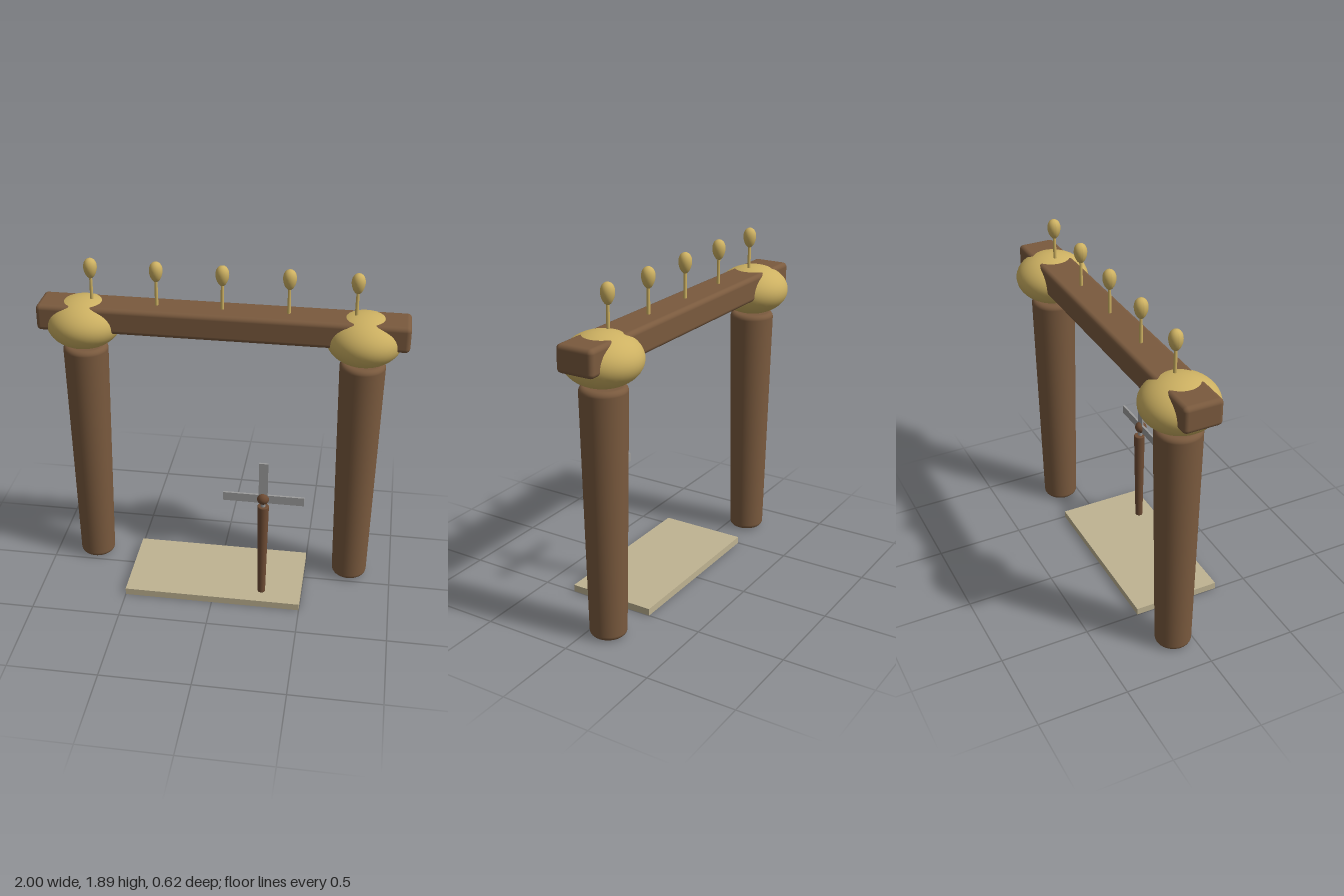
import * as THREE from 'three';
import { RoundedBoxGeometry } from 'three/addons/geometries/RoundedBoxGeometry.js';

const material = (color) => new THREE.MeshStandardMaterial({ color });

export function createModel() {
  const model = new THREE.Group();
  const wood = material(0x7a5a3e);
  const darkWood = material(0x6e4c34);
  const gold = material(0xcdb162);
  const stone = material(0xbfb392);
  const metal = material(0x9c9c9c);

  function add(name, geometry, mat, x, y, z, parent = model) {
    const mesh = new THREE.Mesh(geometry, mat);
    mesh.name = name;
    mesh.position.set(x, y, z);
    parent.add(mesh);
    return mesh;
  }

  // Tapered round post with softened rims, standing on y = 0
  function postGeometry(bottom, top, height, round, segments) {
    const points = [new THREE.Vector2(0, 0)];
    for (let i = 0; i <= 5; i++) {
      const a = (i / 5) * Math.PI / 2;
      points.push(new THREE.Vector2(bottom - round + round * Math.sin(a), round - round * Math.cos(a)));
    }
    for (let i = 0; i <= 5; i++) {
      const a = (i / 5) * Math.PI / 2;
      points.push(new THREE.Vector2(top - round + round * Math.cos(a), height - round + round * Math.sin(a)));
    }
    points.push(new THREE.Vector2(0, height));
    return new THREE.LatheGeometry(points, segments);
  }

  // Columns with flattened ball capitals
  const frameZ = -0.105;
  const columnGeometry = postGeometry(0.1, 0.124, 1.385, 0.028, 40);
  const capitalGeometry = new THREE.SphereGeometry(1, 40, 28).scale(0.205, 0.14, 0.205);
  for (const side of [1, -1]) {
    const name = side > 0 ? 'left' : 'right';
    add(name + 'Column', columnGeometry, wood, side * 0.76, 0.005, frameZ);
    add(name + 'Capital', capitalGeometry, gold, side * 0.76, 1.525, frameZ);
  }

  // Crossbeam
  add('crossbeam', new RoundedBoxGeometry(2, 0.146, 0.212, 4, 0.025), wood, 0, 1.573, frameZ);

  // Row of finials: thin stem and egg-shaped bud
  const stemGeometry = new THREE.CylinderGeometry(0.008, 0.01, 0.17, 12);
  const budGeometry = new THREE.SphereGeometry(1, 20, 16).scale(0.036, 0.057, 0.036);
  const bud = budGeometry.attributes.position;
  for (let i = 0; i < bud.count; i++) {
    const widen = 1 + 0.16 * bud.getY(i) / 0.057;
    bud.setX(i, bud.getX(i) * widen);
    bud.setZ(i, bud.getZ(i) * widen);
  }
  budGeometry.computeVertexNormals();
  for (let i = -2; i <= 2; i++) {
    const finial = new THREE.Group();
    finial.name = 'finial';
    finial.position.set(i * 0.355, 0, frameZ);
    add('finialStem', stemGeometry, gold, 0, 1.71, 0, finial);
    add('finialBud', budGeometry, gold, 0, 1.835, 0, finial);
    model.add(finial);
  }

  // Floor slab
  add('floorSlab', new THREE.BoxGeometry(1, 0.04, 0.5), stone, 0, 0.02, 0.06);

  // Small pinwheel on a tapered post
  const pinwheel = new THREE.Group();
  pinwheel.name = 'pinwheel';
  pinwheel.position.set(0.275, 0, 0.213);
  model.add(pinwheel);
  add('pinwheelPost', postGeometry(0.022, 0.032, 0.587, 0.006, 20), darkWood, 0, 0.04, 0, pinwheel);
  add('pinwheelNeck', new THREE.CylinderGeometry(0.013, 0.013, 0.06, 12), metal, 0, 0.645, 0.006, pinwheel);
  add('pinwheelHub', new THREE.SphereGeometry(0.034, 20, 14), darkWood, 0, 0.68, 0.009, pinwheel);
  add('pinwheelCrossBlade', new THREE.BoxGeometry(0.445, 0.05, 0.012), metal, 0.002, 0.68, 0.009, pinwheel);
  add('pinwheelTopBlade', new THREE.BoxGeometry(0.05, 0.225, 0.012), metal, 0, 0.7925, 0.009, pinwheel);

  return model;
}
